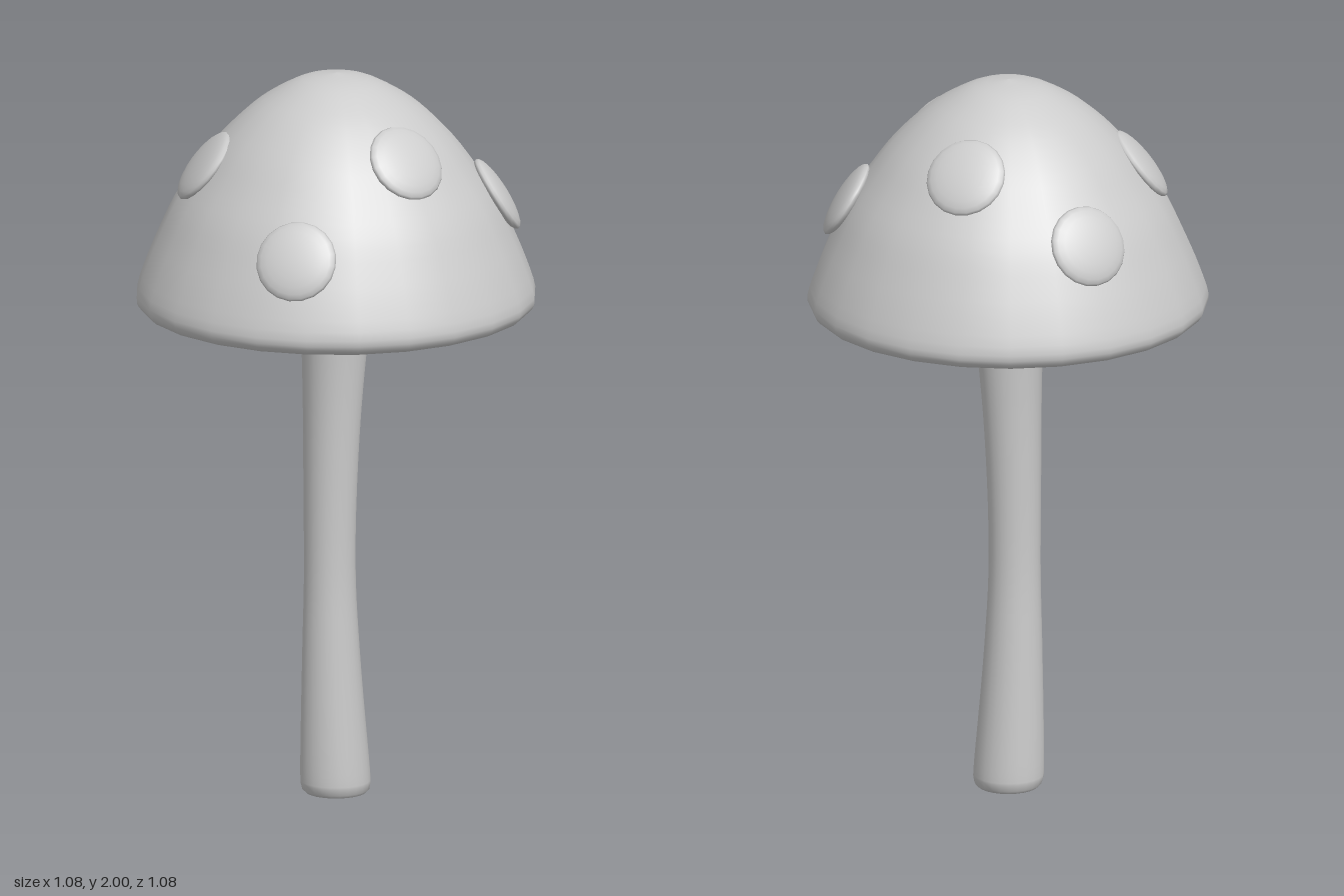
import * as THREE from 'three';

const material = new THREE.MeshStandardMaterial({ color: 0xcccccc });
const toPoints = (list) => list.map(([x, y]) => new THREE.Vector2(x, y));

function addMesh(group, name, geometry) {
  const mesh = new THREE.Mesh(geometry, material);
  mesh.name = name;
  group.add(mesh);
  return mesh;
}

// Outer slope of the cap, from rim to apex
const slope = [
  [0.54, 1.39], [0.515, 1.47], [0.48, 1.555], [0.435, 1.65], [0.375, 1.74],
  [0.315, 1.82], [0.24, 1.895], [0.17, 1.945], [0.09, 1.985], [0, 2],
];

// Unit normal (outward, up) of the slope at a given radius
function slopeNormal(radius) {
  let i = 0;
  while (i < slope.length - 2 && slope[i + 1][0] > radius) i++;
  const a = slope[Math.max(i - 1, 0)], b = slope[Math.min(i + 2, slope.length - 1)];
  return new THREE.Vector2(b[1] - a[1], a[0] - b[0]).normalize();
}

export function createModel() {
  const group = new THREE.Group();
  group.name = 'mushroom';

  // Cap: hollow underside, rolled lip, bell-shaped top
  const underside = [
    [0, 1.54], [0.2, 1.53], [0.29, 1.5], [0.335, 1.44], [0.385, 1.385],
    [0.45, 1.353], [0.5, 1.345], [0.527, 1.355],
  ];
  const capCurve = new THREE.SplineCurve(toPoints([...underside, ...slope]));
  const capPoints = capCurve.getPoints(51);
  capPoints.forEach((p) => { p.x = Math.max(p.x, 0); });
  addMesh(group, 'cap', new THREE.LatheGeometry(capPoints, 24));

  // Stem: slim waist, gentle sideways bend, flare that meets the cap
  const side = new THREE.SplineCurve(toPoints([
    [0.095, 0.03], [0.093, 0.1], [0.078, 0.4], [0.07, 0.65], [0.077, 1],
    [0.09, 1.25], [0.1, 1.32], [0.135, 1.36], [0.22, 1.43], [0.33, 1.515],
  ])).getPoints(45);
  const base = toPoints([[0, 0], [0.07, 0], [0.082, 0.003], [0.091, 0.012]]);
  const stem = new THREE.LatheGeometry([...base, ...side], 24);
  const pos = stem.attributes.position;
  for (let i = 0; i < pos.count; i++) {
    const t = Math.min(pos.getY(i) / 1.35, 1);
    pos.setX(i, pos.getX(i) - 0.021 * Math.sin(Math.PI * t));
  }
  addMesh(group, 'stem', stem);

  // Spots: flattened domes lying on the slope
  const spotGeometry = new THREE.SphereGeometry(0.11, 20, 12).scale(1, 0.25, 1);
  const up = new THREE.Vector3(0, 1, 0);
  const spots = [
    [0, 1.812, 0.315], [-0.36, 1.592, 0.305], [0.365, 1.655, 0.236],
    [-0.317, 1.755, -0.167], [0.254, 1.82, -0.205], [0.01, 1.65, -0.436],
  ];
  spots.forEach(([x, y, z], i) => {
    const radius = Math.hypot(x, z);
    const n = slopeNormal(radius);
    const normal = new THREE.Vector3((x / radius) * n.x, n.y, (z / radius) * n.x);
    const spot = addMesh(group, `spot${i + 1}`, spotGeometry);
    spot.position.set(x, y, z);
    spot.quaternion.setFromUnitVectors(up, normal);
  });

  return group;
}
